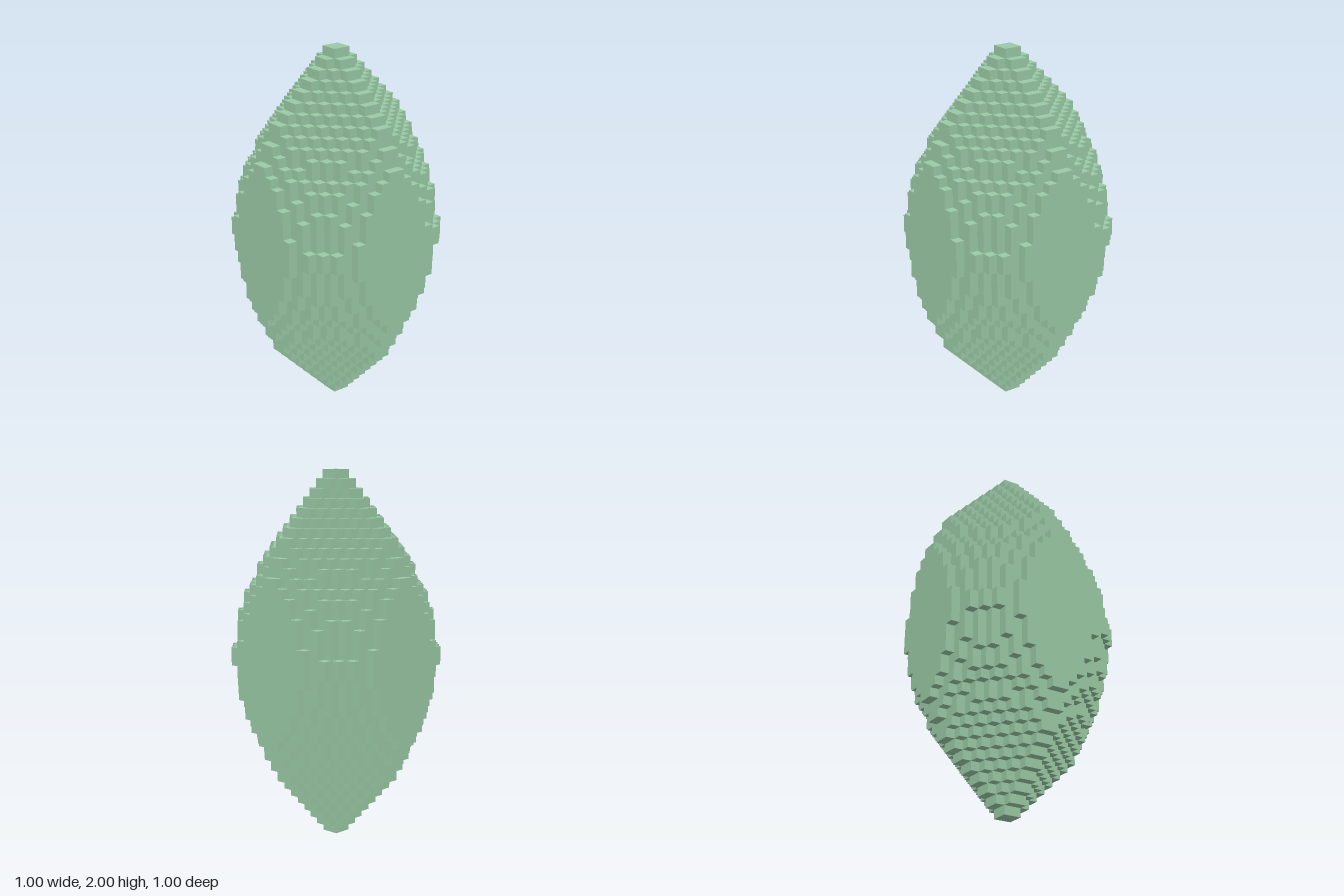
import * as THREE from 'three';
import { mergeGeometries } from 'three/addons/utils/BufferGeometryUtils.js';

const V = 0.05; // block size
const HALF = 10; // blocks from the axis to a side
// squared radii beyond which a column loses one more block of height
const ROUNDING = [64, 87, 100, 106, 110, 118];

// Blocks above the equator in column (i, k); the same number lies below it.
function columnHeight(i, k) {
  const a = i < 0 ? -i - 1 : i;
  const b = k < 0 ? -k - 1 : k;
  if (a >= HALF || b >= HALF) return 0;
  const r2 = (a + 0.5) ** 2 + (b + 0.5) ** 2;
  const loss = ROUNDING.filter((limit) => r2 > limit).length;
  return Math.max(0, 20 - a - b - loss);
}

// Upright face looking along (nx, nz), between two heights
function wall(x, z, nx, nz, low, high) {
  return new THREE.PlaneGeometry(V, (high - low) * V)
    .rotateY(Math.atan2(nx, nz))
    .translate((x + nx / 2) * V, 1 + ((low + high) / 2) * V, (z + nz / 2) * V);
}

// Level face looking up (1) or down (-1)
function cap(x, z, y, dir) {
  return new THREE.PlaneGeometry(V, V)
    .rotateX((-dir * Math.PI) / 2)
    .translate(x * V, 1 + y * V, z * V);
}

export function createModel() {
  const group = new THREE.Group();
  group.name = 'blockSpindle';
  const green = new THREE.MeshStandardMaterial({ color: 0x99c9a4 });
  green.name = 'softGreen';

  const faces = [];
  for (let i = -HALF; i < HALF; i++) {
    for (let k = -HALF; k < HALF; k++) {
      const h = columnHeight(i, k);
      if (h === 0) continue;
      const x = i + 0.5;
      const z = k + 0.5;
      faces.push(cap(x, z, h, 1), cap(x, z, -h, -1));
      // walls only where the column stands out from its neighbour
      for (const [nx, nz] of [[1, 0], [-1, 0], [0, 1], [0, -1]]) {
        const n = columnHeight(i + nx, k + nz);
        if (n >= h) continue;
        if (n === 0) {
          faces.push(wall(x, z, nx, nz, -h, h));
        } else {
          faces.push(wall(x, z, nx, nz, n, h), wall(x, z, nx, nz, -h, -n));
        }
      }
    }
  }

  const body = new THREE.Mesh(mergeGeometries(faces), green);
  body.name = 'steppedBody';
  group.add(body);
  return group;
}
